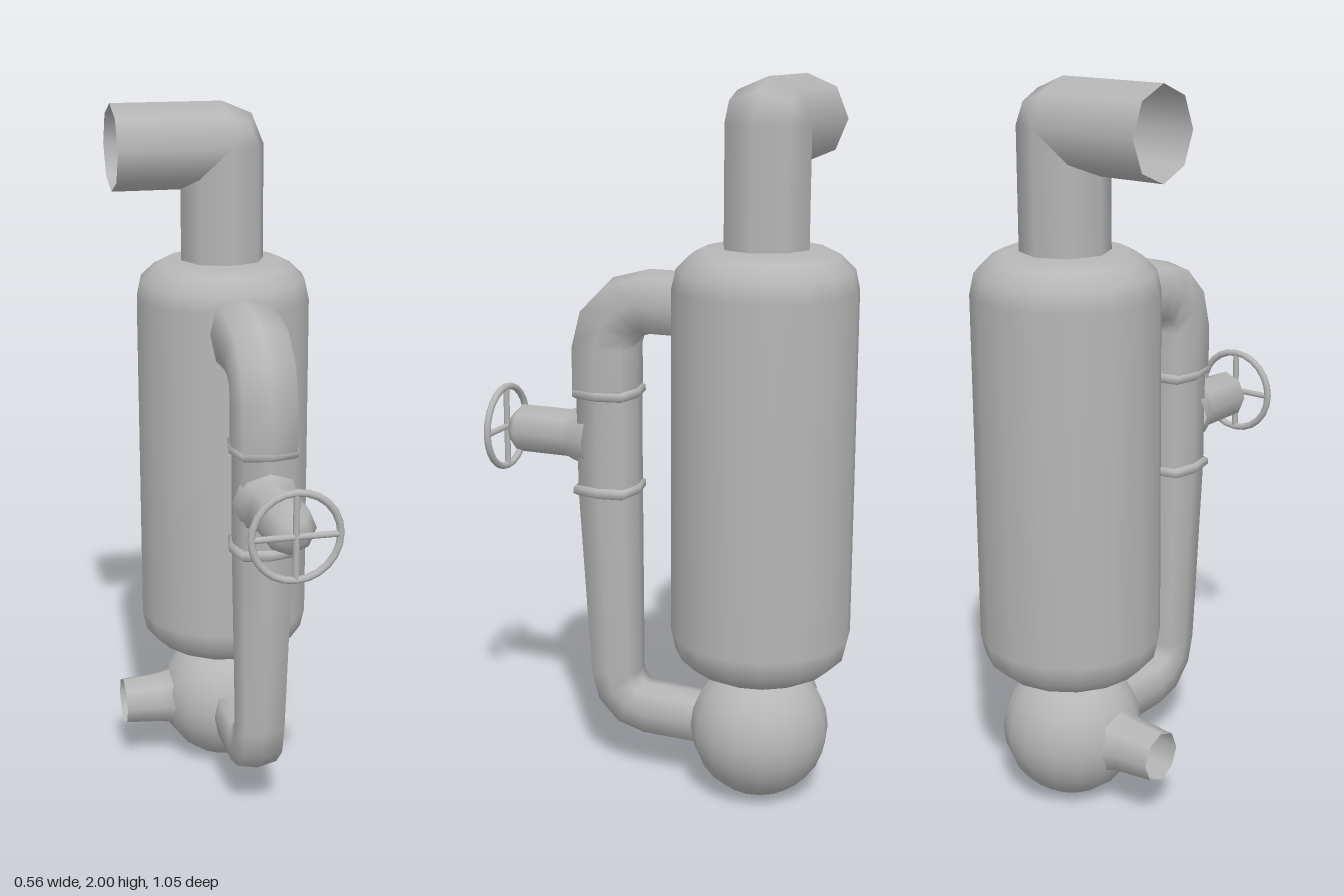
import * as THREE from 'three';

const metal = new THREE.MeshStandardMaterial({ color: 0xb6b6b6, side: THREE.DoubleSide });
metal.name = 'grey metal';

const X = 0.03, Z = -0.275; // vertical axis of the tank

export function createModel() {
  const model = new THREE.Group();
  model.name = 'boilerTank';

  const add = (name, geometry, x = 0, y = 0, z = 0, parent = model) => {
    const mesh = new THREE.Mesh(geometry, metal);
    mesh.name = name;
    mesh.position.set(x, y, z);
    parent.add(mesh);
    return mesh;
  };
  const lathe = (profile, sides) =>
    new THREE.LatheGeometry(profile.map(([r, y]) => new THREE.Vector2(r, y)), sides);

  // Squarish pipe swept in the yz plane; each section is [y, z, degrees, radius]
  const pipe = (sections) => {
    const pos = [], index = [], n = 8;
    for (const [y, z, deg, r] of sections) {
      const a = THREE.MathUtils.degToRad(deg);
      for (let j = 0; j < n; j++) {
        const t = (j / n) * Math.PI * 2, k = j % 2 ? r * 1.17 : r;
        const u = Math.cos(t) * k, v = Math.sin(t) * k;
        pos.push(X + u, y - Math.cos(a) * v, z + Math.sin(a) * v);
      }
    }
    for (let i = 0; i < sections.length - 1; i++) {
      for (let j = 0; j < n; j++) {
        const a = i * n + j, b = i * n + (j + 1) % n;
        index.push(a, a + n, b, b, a + n, b + n);
      }
    }
    const g = new THREE.BufferGeometry();
    g.setAttribute('position', new THREE.Float32BufferAttribute(pos, 3));
    g.setIndex(index);
    g.computeVertexNormals();
    return g;
  };
  // Quarter bend in 30 degree steps
  const bend = (cy, cz, R, r, start) => [0, 30, 60, 90].map((d) => {
    const a = THREE.MathUtils.degToRad(start + d);
    return [cy - Math.cos(a) * R, cz + Math.sin(a) * R, start + d, r];
  });

  // Main tank with rounded shoulders
  const shoulder = [[0, 0], [0.165, 0], [0.2, 0.018], [0.238, 0.055], [0.25, 0.11]];
  add('tank', lathe([
    ...shoulder.map(([r, e]) => [r, 0.38 + e]),
    ...shoulder.map(([r, e]) => [r, 1.56 - e]).reverse(),
  ], 16), X, 0, Z);

  // Ball under the tank, with a short neck and a flared open nozzle
  add('ball', new THREE.SphereGeometry(0.195, 16, 12), X, 0.2, Z);
  add('neck', new THREE.CylinderGeometry(0.09, 0.1, 0.07, 16, 1, true), X, 0.375, Z);
  add('nozzle', lathe([[0.115, 0.14], [0.086, 0.175], [0.078, 0.21], [0.07, 0.315]], 8)
    .rotateZ(Math.PI / 2), X, 0.2, Z);

  // Top outlet: upright pipe, ball-shaped elbow, open horizontal pipe
  add('outletRiser', new THREE.CylinderGeometry(0.12, 0.12, 0.34, 8, 1, true), X, 1.71, Z);
  add('outletElbow', new THREE.SphereGeometry(0.12, 8, 4).rotateX(Math.PI / 2), X, 1.88, Z);
  add('outletPipe', new THREE.CylinderGeometry(0.12, 0.12, 0.315, 8, 1, true)
    .rotateZ(Math.PI / 2), X - 0.1575, 1.88, Z);

  // Side pipe from the ball up and back into the tank
  add('sidePipe', pipe([
    [0.2, -0.15, 0, 0.07],
    ...bend(0.305, 0.06, 0.105, 0.07, 0),
    [0.85, 0.183, 90, 0.083],
    [1.135, 0.185, 90, 0.084],
    [1.14, 0.19, 90, 0.09],
    ...bend(1.265, 0.06, 0.13, 0.09, 90),
    [1.395, -0.1, 180, 0.09],
  ]));

  // Collars around the side pipe
  for (const [name, y] of [['lowerCollar', 0.855], ['upperCollar', 1.135]]) {
    add(name, pipe([[-0.015, 0.084], [-0.008, 0.094], [0.008, 0.094], [0.015, 0.084]]
      .map(([dy, r]) => [y + dy, 0.186, 90, r])));
  }

  // Valve stem with a flared root and a rounded tip
  add('valveStem', lathe([[0.095, 0.23], [0.085, 0.27], [0.07, 0.305], [0.07, 0.46],
    [0.042, 0.49], [0, 0.507]], 8).rotateX(Math.PI / 2), X, 1, 0);

  // Hand wheel with crossed spokes
  const wheel = new THREE.Group();
  wheel.name = 'handWheel';
  wheel.position.set(X, 1, 0.515);
  model.add(wheel);
  add('wheelRim', new THREE.TorusGeometry(0.117, 0.01, 8, 24), 0, 0, 0, wheel);
  for (let i = 0; i < 2; i++) {
    add('wheelSpoke', new THREE.CylinderGeometry(0.009, 0.009, 0.232, 8), 0, 0, 0, wheel)
      .rotation.z = i * Math.PI / 2;
  }

  return model;
}
